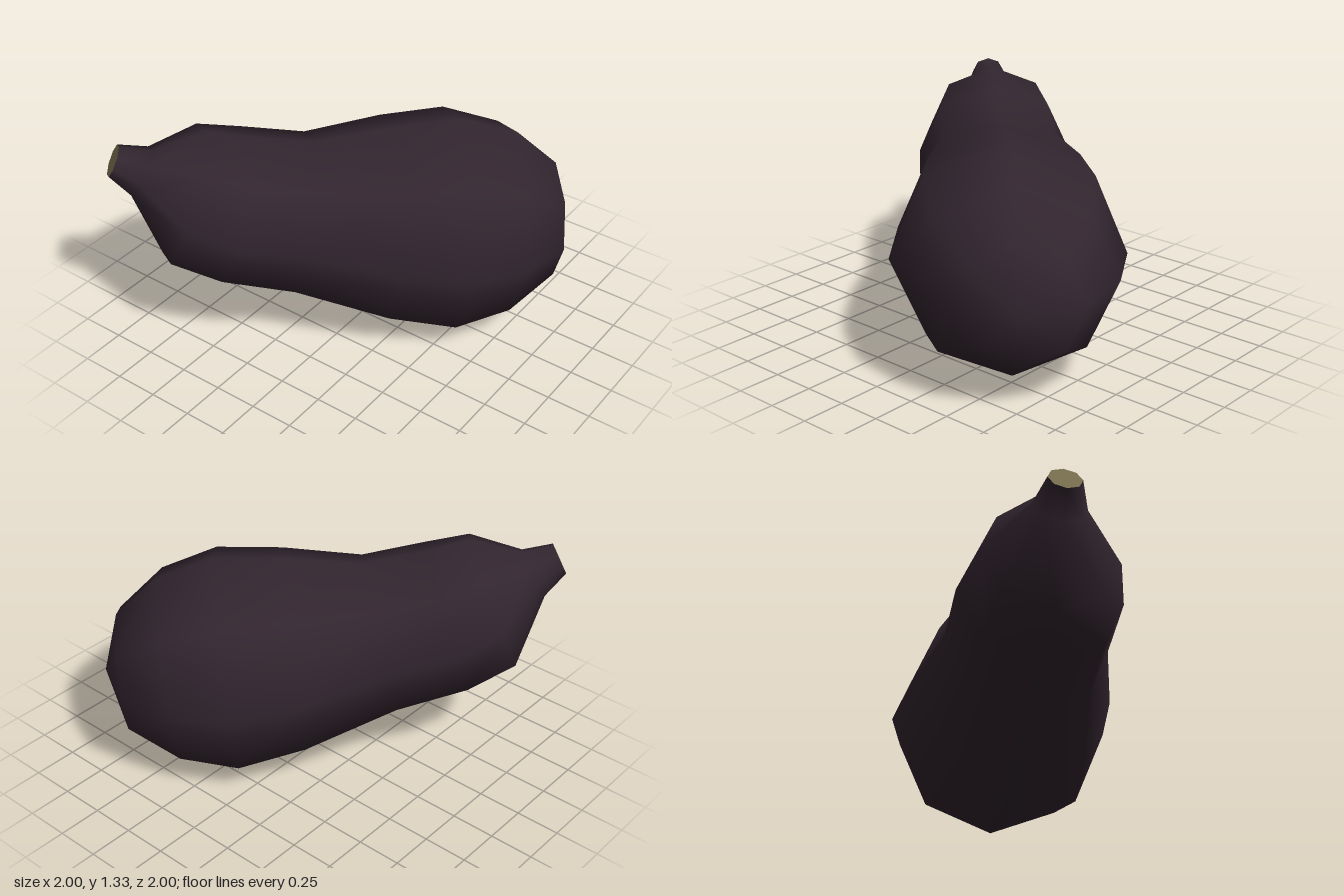
import * as THREE from 'three';

const SIDES = 8;

// Cross-sections from stalk to blossom end, measured along the diagonal axis:
// [top along, top y, bottom along, bottom y, half width]
const SECTIONS = [
  [-1.285, 1.27, -1.365, 1.105, 0.09],
  [-1.117, 1.23, -1.26, 0.98, 0.145],
  [-0.83, 1.325, -1.117, 0.56, 0.37],
  [-0.59, 1.26, -0.85, 0.44, 0.445],
  [-0.25, 1.2, -0.45, 0.315, 0.45],
  [0.18, 1.25, 0.07, 0.1, 0.58],
  [0.55, 1.265, 0.44, 0, 0.63],
  [0.86, 1.15, 0.76, 0.065, 0.548],
  [1.09, 0.93, 1.05, 0.235, 0.348],
];

// Axis coordinates (along, height, across) to model space
const place = (s, y, t) => [(s + t) * Math.SQRT1_2, y, (s - t) * Math.SQRT1_2];

// One tilted ring with a corner at the top, bottom and both sides
function ring([topS, topY, lowS, lowY, half]) {
  const points = [];
  for (let j = 0; j < SIDES; j++) {
    const a = (j / SIDES) * Math.PI * 2;
    const k = Math.sin(a) / 2;
    points.push(place(
      (topS + lowS) / 2 + (topS - lowS) * k,
      (topY + lowY) / 2 + (topY - lowY) * k,
      half * Math.cos(a),
    ));
  }
  return points;
}

function build(points, index) {
  const geometry = new THREE.BufferGeometry();
  geometry.setAttribute('position', new THREE.Float32BufferAttribute(points.flat(), 3));
  geometry.setIndex(index);
  geometry.computeVertexNormals();
  return geometry;
}

export function createModel() {
  const group = new THREE.Group();
  group.name = 'eggplant';
  const skin = new THREE.MeshStandardMaterial({ color: 0x32252f });
  skin.name = 'dark purple skin';
  const cut = new THREE.MeshStandardMaterial({ color: 0x7a7050 });
  cut.name = 'olive stalk';

  // Smooth body skinned across the rings, closed by a rounded tip
  const points = SECTIONS.flatMap(ring);
  const tip = points.push(place(1.174, 0.575, 0)) - 1;
  const index = [];
  for (let i = 0; i < SECTIONS.length; i++) {
    for (let j = 0; j < SIDES; j++) {
      const a = i * SIDES + j;
      const b = i * SIDES + (j + 1) % SIDES;
      if (i === SECTIONS.length - 1) index.push(a, b, tip);
      else index.push(a, b, a + SIDES, b, b + SIDES, a + SIDES);
    }
  }
  const body = new THREE.Mesh(build(points, index), skin);
  body.name = 'body';

  // Flat cut face at the end of the stalk
  const face = ring(SECTIONS[0]);
  const capIndex = [];
  for (let j = 1; j < SIDES - 1; j++) capIndex.push(0, j + 1, j);
  const stalkEnd = new THREE.Mesh(build(face, capIndex), cut);
  stalkEnd.name = 'stalkEnd';

  group.add(body, stalkEnd);
  return group;
}
